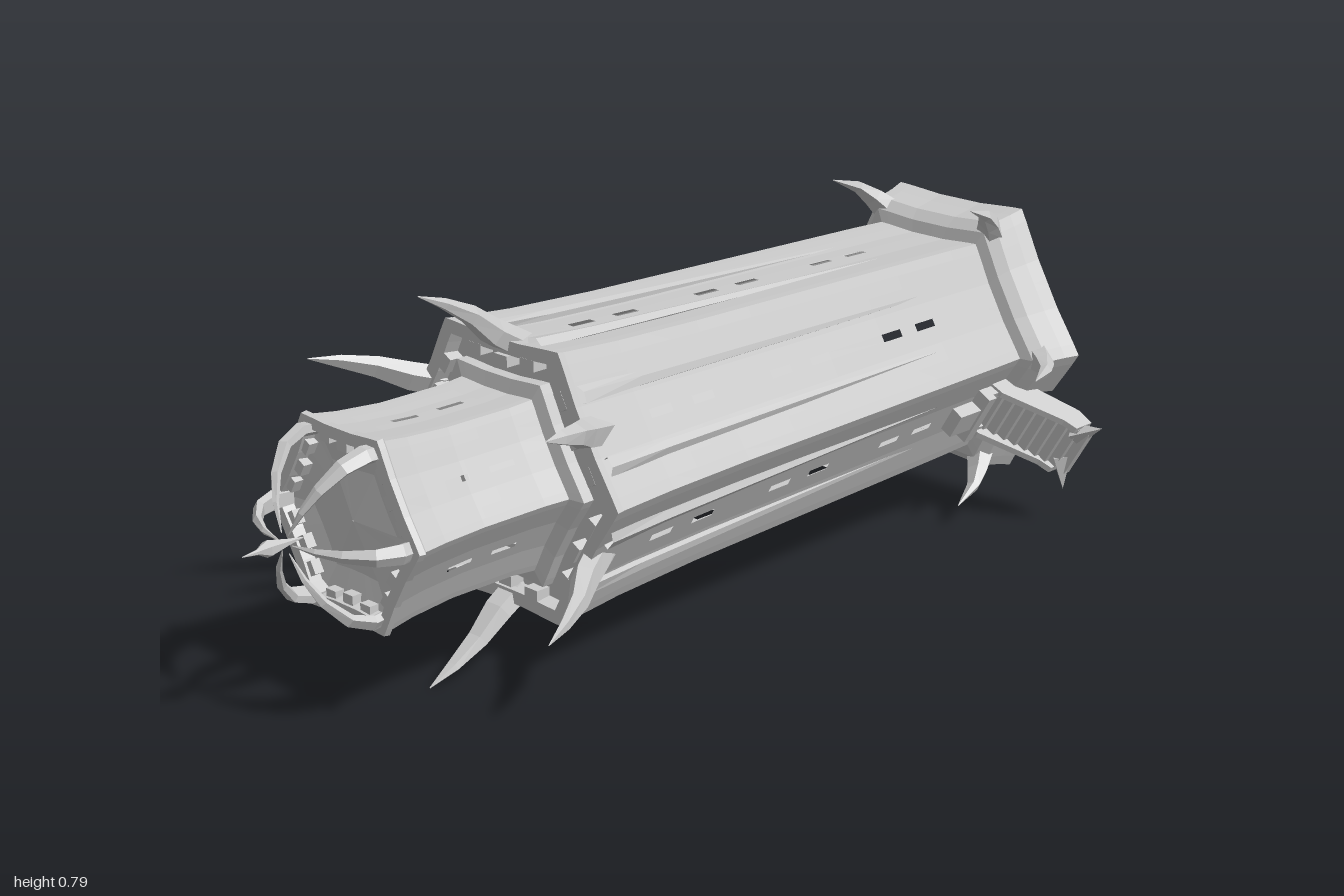
import * as THREE from 'three';

const mat = new THREE.MeshStandardMaterial({ color: 0xcccccc, flatShading: true, side: THREE.DoubleSide });
const rad = THREE.MathUtils.degToRad;

function part(parent, name, geometry, x = 0, y = 0, z = 0) {
  const mesh = new THREE.Mesh(geometry, mat);
  mesh.name = name;
  mesh.position.set(x, y, z);
  parent.add(mesh);
  return mesh;
}

// Skin a list of closed rings; skip(i, j) leaves a hole
function loft(rings, skip = () => false) {
  const pos = [];
  for (let i = 0; i < rings.length - 1; i++) {
    const n = rings[i].length;
    for (let j = 0; j < n; j++) {
      if (skip(i, j)) continue;
      const k = (j + 1) % n;
      const a = rings[i][j], b = rings[i][k], c = rings[i + 1][k], d = rings[i + 1][j];
      for (const p of [a, b, c, a, c, d]) pos.push(p.x, p.y, p.z);
    }
  }
  const g = new THREE.BufferGeometry();
  g.setAttribute('position', new THREE.Float32BufferAttribute(pos, 3));
  g.computeVertexNormals();
  return g;
}

// One sixth of the hexagonal star plan: [angle, share of corner radius]
const SECTOR = [[0, 1], [4, 0.96], [10, 0.91], [19, 0.86], [28, 0.845], [32, 0.845], [41, 0.86], [50, 0.91], [56, 0.96]];
const N = SECTOR.length;
const MID = 4;          // window strip within a sector
const DOOR_SECTOR = 5;  // sector centred on 330 degrees

function starRing(R, z) {
  const ring = [];
  for (let s = 0; s < 6; s++) {
    for (const [deg, k] of SECTOR) {
      const a = rad(s * 60 + deg);
      ring.push(new THREE.Vector3(Math.cos(a) * R * k, Math.sin(a) * R * k, z));
    }
  }
  return ring;
}

// Profile of [R, z] pairs, sampled linearly in z
function radiusAt(profile, z) {
  for (let i = 1; i < profile.length; i++) {
    const [r0, z0] = profile[i - 1], [r1, z1] = profile[i];
    if (z <= z1) return r0 + (r1 - r0) * (z - z0) / (z1 - z0);
  }
  return profile[profile.length - 1][0];
}

// Star-plan wall with a slot window on each side at the given heights
function wall(profile, windows, door) {
  const zs = profile.map(p => p[1]);
  windows.forEach(w => zs.push(w - 0.03, w + 0.03));
  if (door) zs.push(...door);
  zs.sort((a, b) => a - b);
  return loft(zs.map(z => starRing(radiusAt(profile, z), z)), (i, j) => {
    const z = (zs[i] + zs[i + 1]) / 2, s = Math.floor(j / N), k = j % N;
    if (door && s === DOOR_SECTOR && k >= 3 && k <= 5 && z > door[0] && z < door[1]) return true;
    return k === MID && windows.some(w => Math.abs(z - w) < 0.03);
  });
}

// Curved horn in the r-z plane: stations of [r, z, half width, half depth]
function horn(stations) {
  const curve = new THREE.CatmullRomCurve3(stations.map(s => new THREE.Vector3(s[0], 0, s[1])));
  const n = stations.length - 1;
  const rings = stations.map(([r, z, w, d], i) => {
    const t = curve.getTangent(i / n);
    return [[0, 1], [-1, 0.25], [-0.7, -0.8], [0.7, -0.8], [1, 0.25]].map(([u, v]) =>
      new THREE.Vector3(r + t.z * v * d, u * w, z - t.x * v * d));
  });
  return loft(rings);
}

// Group turned around the axis so that its +x points outward
function spoke(parent, name, deg) {
  const g = new THREE.Group();
  g.name = name;
  g.rotation.z = rad(deg);
  parent.add(g);
  return g;
}

function buildStairs(parent) {
  const g = spoke(parent, 'entranceStairs', 330);
  // treads run down from the doorway to the ground plane
  for (let i = 0; i < 9; i++) {
    const top = -0.875 - i * 0.013;
    part(g, 'tread', new THREE.BoxGeometry(0.024, 0.12, 0.018), 0.245 + i * 0.022, 0, top);
  }
  // side walls with an outward-flaring foot
  const side = new THREE.Shape([[0.22, -0.84], [0.26, -0.845], [0.38, -0.935], [0.41, -0.945], [0.41, -1], [0.37, -1], [0.22, -0.91]]
    .map(p => new THREE.Vector2(...p)));
  for (const s of [-1, 1]) {
    const m = part(g, 'stairWall', new THREE.ExtrudeGeometry(side, { depth: 0.014, bevelEnabled: false }), 0, s * 0.062 + 0.007, 0);
    m.rotation.x = Math.PI / 2;
    const foot = part(g, 'stairFoot', new THREE.ConeGeometry(0.026, 0.075, 4), 0.425, s * 0.065, -0.975);
    foot.rotation.z = s > 0 ? -0.65 : Math.PI + 0.65;
    part(g, 'doorPost', new THREE.BoxGeometry(0.035, 0.016, 0.15), 0.235, s * 0.055, -0.885);
  }
  part(g, 'doorLintel', new THREE.BoxGeometry(0.05, 0.13, 0.025), 0.24, 0, -0.81);
  part(g, 'doorCanopy', new THREE.BoxGeometry(0.03, 0.06, 0.08), 0.245, 0, -0.77);
}

export function createModel() {
  const model = new THREE.Group();
  model.name = 'tower';
  const t = new THREE.Group();
  t.name = 'towerBody';
  t.position.set(-0.03, 0.393, 0);
  model.add(t);

  // Lower shaft, upper shaft
  part(t, 'lowerWall', wall([[0.265, -0.98], [0.272, -0.8], [0.292, 0], [0.302, 0.22], [0.315, 0.37]],
    [-0.64, -0.53, -0.3, -0.18, 0.05, 0.17], [-0.95, -0.85]));
  part(t, 'upperWall', wall([[0.205, 0.33], [0.195, 0.45], [0.195, 0.6], [0.203, 0.7], [0.214, 0.77]], [0.51, 0.62]));

  // Flared base skirt, open at the doorway
  const skirt = [[0.345, -1], [0.335, -0.965], [0.325, -0.915], [0.3, -0.895], [0.268, -0.89]];
  part(t, 'baseSkirt', loft(skirt.map(p => starRing(...p)),
    (i, j) => Math.floor(j / N) === DOOR_SECTOR && j % N >= 3 && j % N <= 5));

  // Terrace and roof with raised rims
  const terrace = [[0.315, 0.365], [0.318, 0.382], [0.285, 0.382], [0.28, 0.35], [0.19, 0.35]];
  part(t, 'terrace', loft(terrace.map(p => starRing(...p))));
  const inner = [[0.21, 0.35], [0.235, 0.365], [0.235, 0.39], [0.2, 0.395]];
  part(t, 'terraceCollar', loft(inner.map(p => starRing(...p))));
  const roof = [[0.212, 0.755], [0.22, 0.762], [0.218, 0.775], [0.19, 0.775], [0.185, 0.75], [0.12, 0.745], [0.001, 0.75]];
  part(t, 'roof', loft(roof.map(p => starRing(...p))));

  for (let i = 0; i < 6; i++) {
    // Sides: upper horns and battlements
    const face = spoke(t, 'side', i * 60 + 30);
    part(face, 'upperHorn', horn([[0.235, 0.27, 0.012, 0.008], [0.255, 0.35, 0.03, 0.03], [0.285, 0.4, 0.029, 0.028],
      [0.33, 0.455, 0.022, 0.02], [0.366, 0.52, 0.014, 0.011], [0.392, 0.58, 0.001, 0.001]]));
    for (const k of [-1, 0, 1]) {
      part(face, 'terraceMerlon', new THREE.BoxGeometry(0.022, 0.036, 0.035), 0.225 + Math.abs(k) * 0.008, k * 0.075, 0.365);
      part(face, 'roofMerlon', new THREE.BoxGeometry(0.02, 0.028, 0.025), 0.15 + Math.abs(k) * 0.006, k * 0.05, 0.757);
    }
    // Corners: lower horns, crown claws, tapered ribs
    const corner = spoke(t, 'corner', i * 60);
    part(corner, 'lowerHorn', horn([[0.27, -0.97, 0.02, 0.012], [0.3, -0.92, 0.032, 0.028], [0.33, -0.895, 0.024, 0.022],
      [0.36, -0.86, 0.015, 0.013], [0.388, -0.79, 0.001, 0.001]]));
    part(corner, 'crownClaw', horn([[0.185, 0.75, 0.018, 0.014], [0.188, 0.79, 0.02, 0.014], [0.17, 0.835, 0.017, 0.012],
      [0.125, 0.873, 0.012, 0.009], [0.075, 0.895, 0.007, 0.006], [0.02, 0.905, 0.001, 0.001]]));
    for (const s of [-1, 1]) {
      const rib = spoke(corner, 'ribMount', s * 15);
      part(rib, 'wallRib', horn([[0.232, -0.86, 0.001, 0.001], [0.25, -0.3, 0.009, 0.008], [0.268, 0.2, 0.014, 0.012], [0.278, 0.36, 0.02, 0.012]]));
    }
  }

  // Crystal pinnacle within the claws
  const crystal = [[0.001, 0.865], [0.007, 0.9], [0.017, 0.945], [0.006, 0.965], [0.001, 1]];
  part(t, 'pinnacle', new THREE.LatheGeometry(crystal.map(p => new THREE.Vector2(...p)), 6).rotateX(Math.PI / 2));

  buildStairs(t);
  return model;
}
